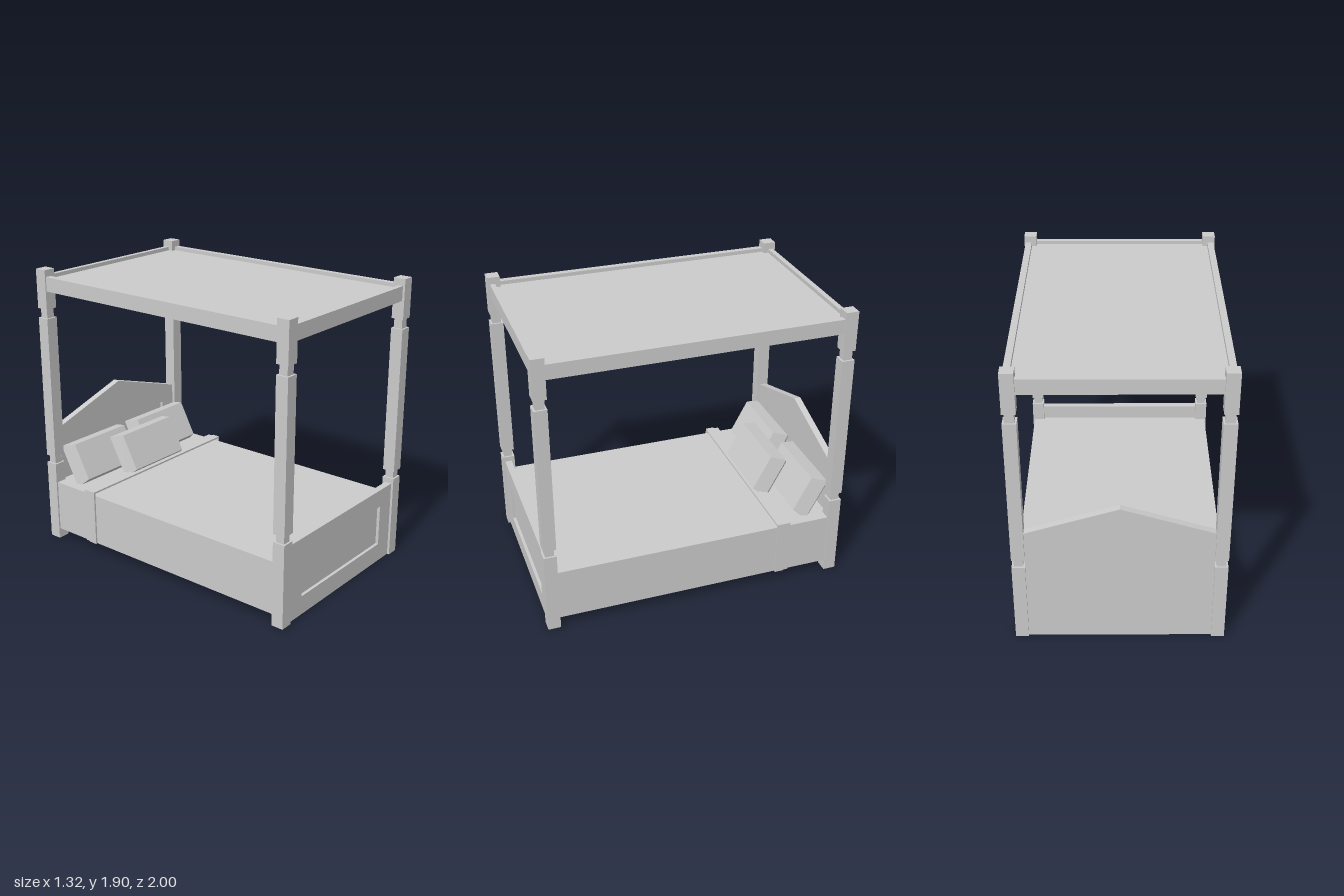
import * as THREE from 'three';

const mat = new THREE.MeshStandardMaterial({ color: 0xcccccc, flatShading: true });

function add(parent, name, geo, x = 0, y = 0, z = 0) {
  const mesh = new THREE.Mesh(geo, mat);
  mesh.name = name;
  mesh.position.set(x, y, z);
  parent.add(mesh);
  return mesh;
}

// box given by its min and max corners
function block(parent, name, x0, x1, y0, y1, z0, z1) {
  return add(parent, name, new THREE.BoxGeometry(x1 - x0, y1 - y0, z1 - z0),
    (x0 + x1) / 2, (y0 + y1) / 2, (z0 + z1) / 2);
}

// flat outline, optionally with a hole, extruded from z0 to z1
function slab(parent, name, outline, hole, z0, z1) {
  const toVec = (pts) => pts.map(([x, y]) => new THREE.Vector2(x, y));
  const shape = new THREE.Shape(toVec(outline));
  if (hole) shape.holes.push(new THREE.Path(toVec(hole)));
  return add(parent, name, new THREE.ExtrudeGeometry(shape, { depth: z1 - z0, bevelEnabled: false }), 0, 0, z0);
}

// thin cover, open underneath, draped over the bed
function drape(parent, name, w, y0, y1, z0, z1, t = 0.012) {
  const outline = [[-w, y0], [-w + t, y0], [-w + t, y1 - t], [w - t, y1 - t],
    [w - t, y0], [w, y0], [w, y1], [-w, y1]];
  return slab(parent, name, outline, null, z0, z1);
}

// turned post: square blocks separated by narrower necks
function post(x, z) {
  const g = new THREE.Group();
  g.name = 'post';
  const parts = [[0, 0.555, 0.082], [0.555, 0.607, 0.057], [0.607, 1.577, 0.082],
    [1.577, 1.64, 0.057], [1.64, 1.9, 0.082]];
  for (const [y0, y1, w] of parts) {
    block(g, w > 0.07 ? 'postBlock' : 'postNeck', -w / 2, w / 2, y0, y1, -w / 2, w / 2);
  }
  g.position.set(x, 0, z);
  return g;
}

// cushion with a widest outline behind its front face
function pillow(x, y, z) {
  const geo = new THREE.BoxGeometry(0.48, 0.255, 0.13, 1, 1, 2);
  const p = geo.attributes.position;
  for (let i = 0; i < p.count; i++) {
    if (Math.abs(p.getZ(i)) < 0.001) {
      p.setXYZ(i, Math.sign(p.getX(i)) * 0.27, Math.sign(p.getY(i)) * 0.152, -0.035);
    }
  }
  geo.translate(0, 0, -0.065);
  geo.computeVertexNormals();
  const mesh = new THREE.Mesh(geo, mat);
  mesh.name = 'pillow';
  mesh.position.set(x, y, z);
  mesh.rotation.x = -0.49;
  return mesh;
}

export function createModel() {
  const bed = new THREE.Group();
  bed.name = 'canopyBed';

  // four corner posts
  for (const sx of [-1, 1]) for (const sz of [-1, 1]) bed.add(post(sx * 0.615, sz * 0.959));

  // canopy rails and roof panel
  for (const s of [-1, 1]) {
    const side = block(bed, 'canopySideRail', -0.021, 0.021, 1.76, 1.855, -0.92, 0.92);
    side.position.x = s * 0.627;
    const end = block(bed, 'canopyEndRail', -0.575, 0.575, 1.76, 1.855, -0.017, 0.017);
    end.position.z = s * 0.968;
  }
  block(bed, 'canopyPanel', -0.61, 0.61, 1.81, 1.83, -0.955, 0.955);

  // footboard with a recessed panel
  slab(bed, 'footboardFrame',
    [[-0.575, 0], [0.575, 0], [0.575, 0.52], [-0.575, 0.52]],
    [[-0.445, 0.125], [-0.445, 0.4], [0.445, 0.4], [0.445, 0.125]], 0.965, 0.985);
  block(bed, 'footboardPanel', -0.575, 0.575, 0, 0.52, 0.94, 0.965);

  // gabled headboard with a recessed panel on the inside
  const gable = [[-0.575, 0], [0.575, 0], [0.575, 0.803], [0, 0.982], [-0.575, 0.803]];
  slab(bed, 'headboardPanel', gable, null, -0.985, -0.96);
  slab(bed, 'headboardFrame', gable,
    [[-0.46, 0.45], [-0.46, 0.693], [0, 0.837], [0.46, 0.693], [0.46, 0.45]], -0.96, -0.94);

  // bed cover with a folded band across it
  drape(bed, 'bedCover', 0.645, 0.07, 0.42, -0.94, 0.94);
  drape(bed, 'foldedBand', 0.66, 0.07, 0.45, -0.61, -0.552);
  drape(bed, 'foldedBandEdge', 0.654, 0.07, 0.445, -0.647, -0.61);

  // two back pillows and one in front
  for (const s of [-1, 1]) bed.add(pillow(s * 0.31, 0.578, -0.77));
  bed.add(pillow(0, 0.588, -0.615));

  return bed;
}
